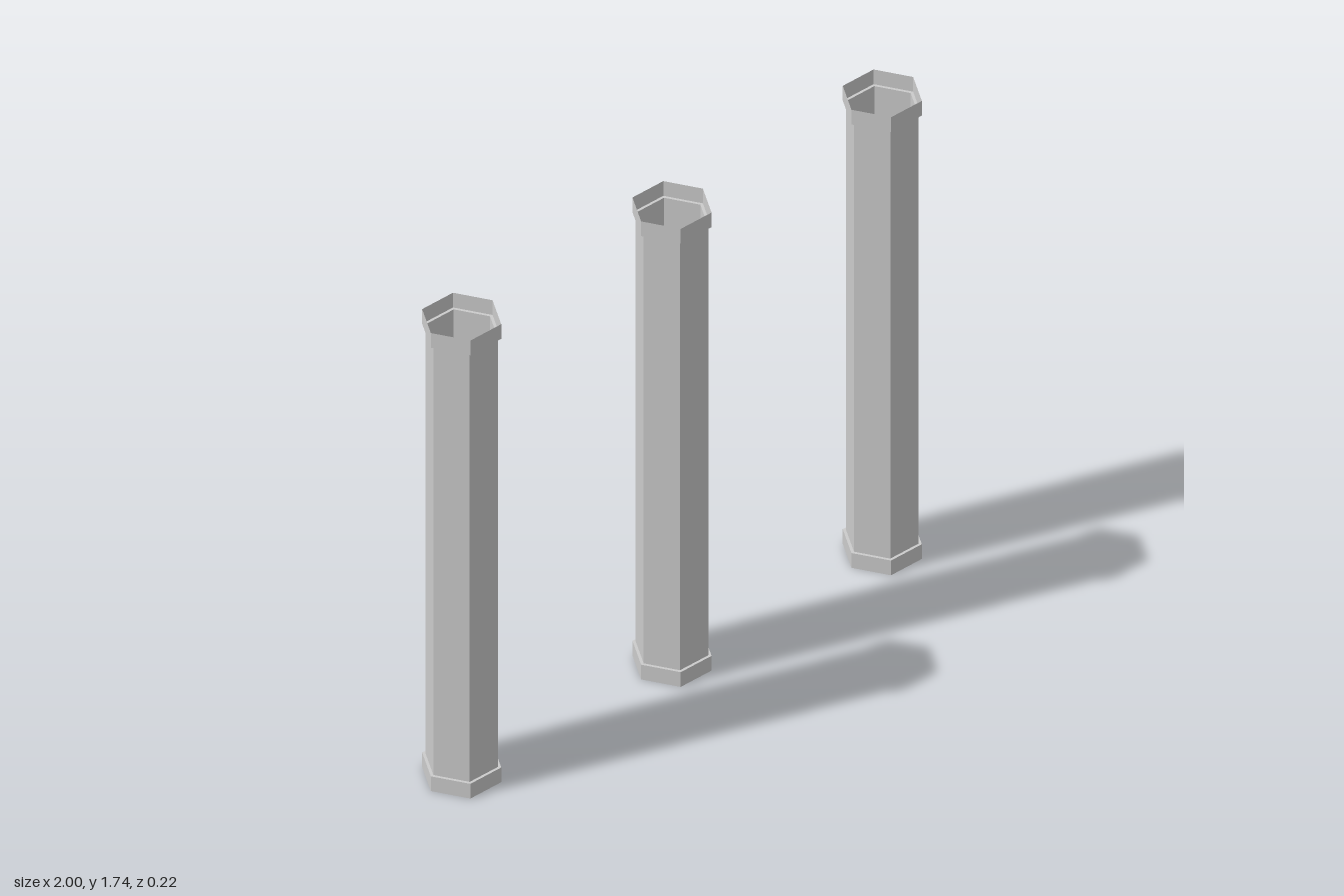
import * as THREE from 'three';

const HEIGHT = 1.744, COLLAR_HEIGHT = 0.056;
const COLLAR_RADIUS = 0.128, SHAFT_RADIUS = 0.1175;
const SPACING = 0.872;

export function createModel() {
  const group = new THREE.Group();
  group.name = 'hexagonalColumns';
  const material = new THREE.MeshStandardMaterial({
    color: 0xcccccc, flatShading: true, side: THREE.DoubleSide,
  });

  // Open six-sided shell swept from a profile, with corners pointing along x
  const hexShell = (points) => new THREE.LatheGeometry(
    points.map(([r, y]) => new THREE.Vector2(r, y)), 6, Math.PI / 2);

  const low = COLLAR_HEIGHT, high = HEIGHT - COLLAR_HEIGHT;
  const parts = {
    // Collars step inward to the shaft with a narrow ledge
    bottomCollar: hexShell([[COLLAR_RADIUS, 0], [COLLAR_RADIUS, low], [SHAFT_RADIUS, low]]),
    shaft: hexShell([[SHAFT_RADIUS, low], [SHAFT_RADIUS, high]]),
    topCollar: hexShell([[SHAFT_RADIUS, high], [COLLAR_RADIUS, high], [COLLAR_RADIUS, HEIGHT]]),
  };

  // Three identical hollow columns in a row
  ['rightColumn', 'middleColumn', 'leftColumn'].forEach((name, i) => {
    const column = new THREE.Group();
    column.name = name;
    column.position.x = (i - 1) * SPACING;
    for (const [partName, geometry] of Object.entries(parts)) {
      const mesh = new THREE.Mesh(geometry, material);
      mesh.name = partName;
      column.add(mesh);
    }
    group.add(column);
  });
  return group;
}
